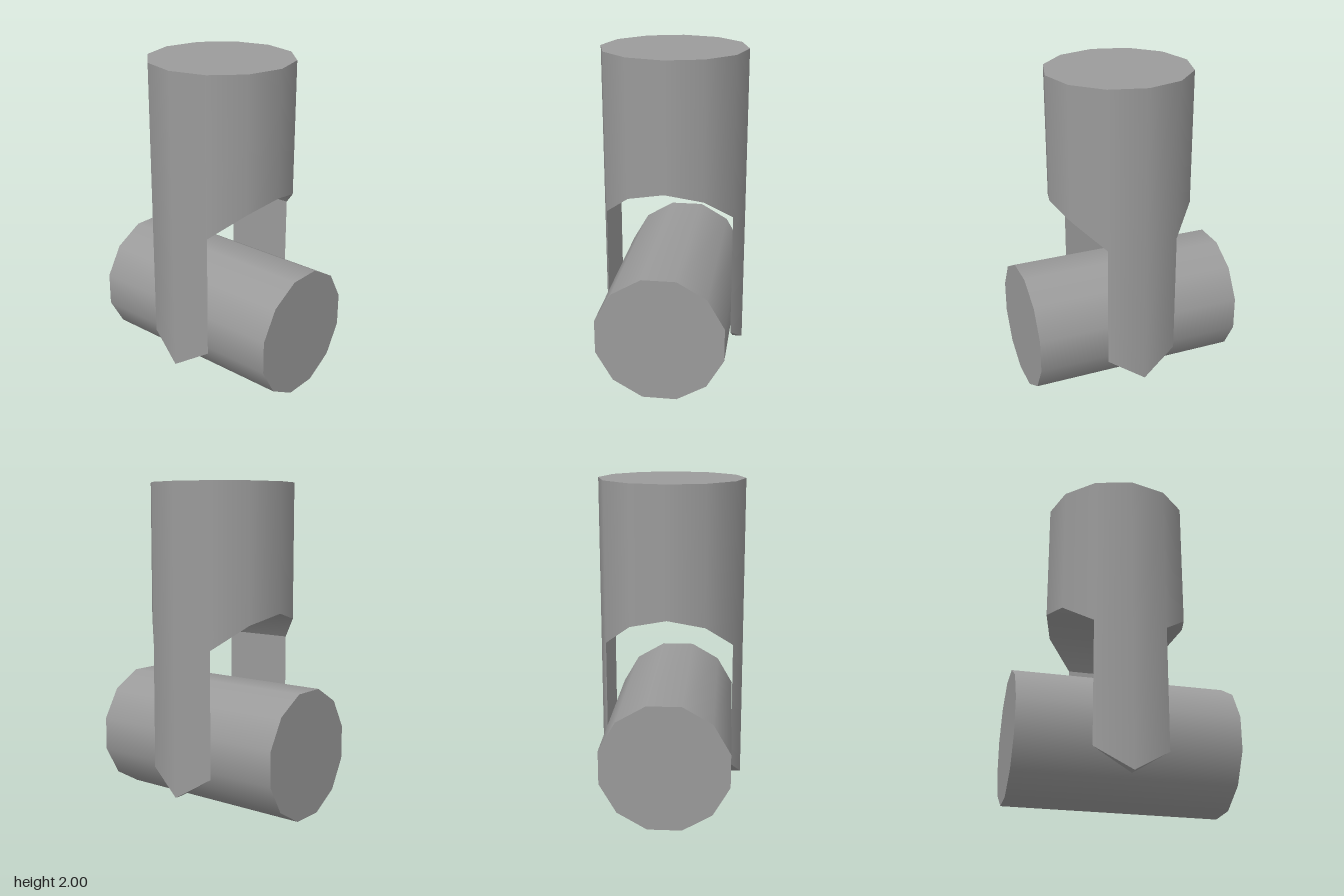
import * as THREE from 'three';

const material = new THREE.MeshStandardMaterial({ color: 0x9b9b9b });
const SIDES = 12;
const R = 0.448;        // column radius
const ROLLER_R = 0.4;
const TOP = 2;

const V = (x, y, z) => new THREE.Vector3(x, y, z);

// Collects convex faces, each turned to look along the given outward hint.
// normalAt gives smooth normals per corner; without it the face is flat.
function faceBuilder() {
  const positions = [], normals = [];
  return {
    add(points, hint, normalAt) {
      const [a, b, c] = points;
      const flat = b.clone().sub(a).cross(c.clone().sub(a)).normalize();
      const flip = flat.dot(hint) < 0;
      if (flip) flat.negate();
      const p = flip ? [...points].reverse() : points;
      for (let i = 1; i < p.length - 1; i++) {
        for (const v of [p[0], p[i], p[i + 1]]) {
          const n = normalAt ? normalAt(v).normalize() : flat;
          positions.push(v.x, v.y, v.z);
          normals.push(n.x, n.y, n.z);
        }
      }
    },
    build() {
      const g = new THREE.BufferGeometry();
      g.setAttribute('position', new THREE.Float32BufferAttribute(positions, 3));
      g.setAttribute('normal', new THREE.Float32BufferAttribute(normals, 3));
      return g;
    },
  };
}

function mesh(name, geometry) {
  const m = new THREE.Mesh(geometry, material);
  m.name = name;
  return m;
}

// Twelve-sided column whose lower end is slotted by an arch, leaving two legs.
function forkedColumn() {
  const faces = faceBuilder();
  const ring = [];
  for (let i = 0; i < SIDES; i++) {
    const a = (i / SIDES) * Math.PI * 2;
    ring.push([R * Math.cos(a), R * Math.sin(a)]);
  }
  const archY = [1.02, 1.165, 1.22, 1.165, 1.02]; // ring points 1..5 across the slot
  const archCentreY = 0.745;
  const legY = 0.24, tipY = 0.1;

  // Top cap
  faces.add(ring.map(([x, z]) => V(x, TOP, z)), V(0, 1, 0));

  // Outer wall: side panels run down to the leg tips, the others end at the arch
  for (let i = 0; i < SIDES; i++) {
    const j = (i + 1) % SIDES;
    const isLeg = i % 6 === 0 || j % 6 === 0;
    const bottom = (k) => {
      if (k % 6 === 0) return tipY;
      return isLeg ? legY : archY[(k % 6) - 1];
    };
    const [xi, zi] = ring[i], [xj, zj] = ring[j];
    faces.add(
      [V(xi, TOP, zi), V(xj, TOP, zj), V(xj, bottom(j), zj), V(xi, bottom(i), zi)],
      V(xi + xj, 0, zi + zj),
      (v) => V(v.x, 0, v.z),
    );
  }

  // Arched ceiling of the slot
  for (let i = 1; i < 5; i++) {
    const [xi, zi] = ring[i], [xj, zj] = ring[i + 1];
    const yi = archY[i - 1], yj = archY[i];
    faces.add(
      [V(xi, yi, zi), V(xj, yj, zj), V(xj, yj, -zj), V(xi, yi, -zi)],
      V(0, -1, 0),
      (v) => V(-v.x, archCentreY - v.y, 0),
    );
  }

  // Flat inner faces and pointed undersides of the legs
  const [xIn, zIn] = ring[1];
  for (const s of [1, -1]) {
    const x = s * xIn;
    faces.add(
      [V(x, archY[0], zIn), V(x, archY[0], -zIn), V(x, legY, -zIn), V(x, tipY, 0), V(x, legY, zIn)],
      V(-s, 0, 0),
    );
    for (const t of [1, -1]) {
      faces.add([V(x, tipY, 0), V(s * R, tipY, 0), V(x, legY, t * zIn)], V(0, -1, 0));
    }
  }
  return mesh('forkedColumn', faces.build());
}

// Horizontal roller held between the legs, resting on a flat side
function roller() {
  const g = new THREE.CylinderGeometry(ROLLER_R, ROLLER_R, 1.32, SIDES);
  g.rotateY(Math.PI / SIDES);
  g.rotateX(Math.PI / 2);
  g.translate(0, ROLLER_R * Math.cos(Math.PI / SIDES), 0);
  return mesh('roller', g);
}

export function createModel() {
  const group = new THREE.Group();
  group.name = 'forkAndRoller';
  group.add(forkedColumn(), roller());
  return group;
}
